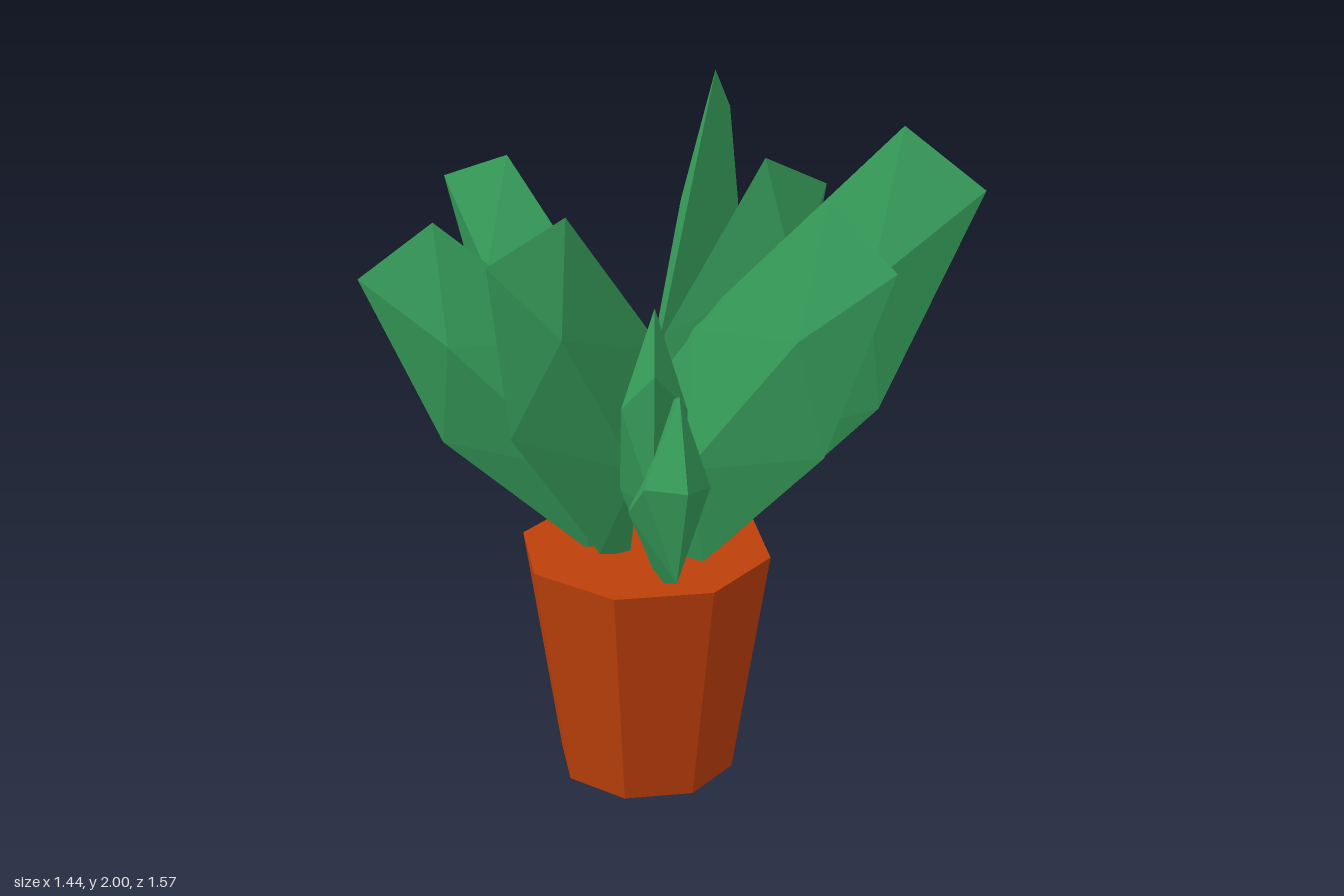
import * as THREE from 'three';

const potMat = new THREE.MeshStandardMaterial({ color: 0xbe400a });
potMat.name = 'terracotta';
const leafMat = new THREE.MeshStandardMaterial({ color: 0x379e5b });
leafMat.name = 'leaf green';
potMat.flatShading = leafMat.flatShading = true;

// Blade outline, counterclockwise: [along the blade, across it]
const OUTLINE = [
  [0, 0], [0.06, 0.33], [0.53, 0.86], [1, 0.5], [1, -0.5], [0.5, -1.1], [0.28, -1.28],
];
// Raised ridge points: [along, across, half thickness]
const RIDGE = [[0.28, -0.2, 0.092], [0.75, 0.13, 0.087]];

// Upper and outer corner of each blade's end edge
const LEAVES = [
  [[0.57, 1.84, -0.64], [0.72, 1.67, -0.79]],
  [[0.39, 1.74, -0.10], [0.62, 1.62, -0.13]],
  [[0.37, 2.00, 0.56], [0.49, 1.86, 0.75]],
  [[0.14, 1.84, 0.56], [0.20, 1.70, 0.78]],
  [[-0.23, 1.35, 0.45], [-0.31, 1.16, 0.62]],
  [[-0.17, 1.51, 0.23], [-0.28, 1.40, 0.41]],
  [[-0.28, 1.70, -0.04], [-0.53, 1.61, -0.02]],
  [[-0.53, 1.65, -0.32], [-0.72, 1.50, -0.40]],
  [[-0.22, 1.75, -0.47], [-0.31, 1.65, -0.68]],
];

function leafGeometry(upperTip, outerTip) {
  const upper = new THREE.Vector3(...upperTip);
  const outer = new THREE.Vector3(...outerTip);
  const centre = new THREE.Vector3(0, 0.665, -0.06);
  const dir = outer.clone().sub(upper).setY(0).normalize();
  const base = centre.clone().addScaledVector(dir, 0.08);
  const axis = upper.clone().add(outer).multiplyScalar(0.5).sub(base);
  const across = outer.clone().sub(upper);
  const side = dir.clone().cross(new THREE.Vector3(0, 1, 0));
  const place = (a, b, t = 0) => base.clone()
    .addScaledVector(axis, a).addScaledVector(across, b).addScaledVector(side, t);

  const rim = OUTLINE.map(([a, b]) => place(a, b));
  // The inner corners of all blades meet over the middle of the pot
  rim[6].x = centre.x + dir.x * 0.02;
  rim[6].z = centre.z + dir.z * 0.03;

  const points = [];
  for (const s of [1, -1]) {
    const [low, high] = RIDGE.map(([a, b, t]) => place(a, b, s * t));
    const tri = (a, b, c) => points.push(...(s > 0 ? [a, b, c] : [a, c, b]));
    // Fan the rim to the nearer ridge point
    rim.forEach((p, i) => {
      tri(i >= 2 && i <= 4 ? high : low, p, rim[(i + 1) % rim.length]);
    });
    // Join the two ridge points
    tri(low, rim[2], high);
    tri(low, high, rim[5]);
  }
  const geometry = new THREE.BufferGeometry().setFromPoints(points);
  geometry.computeVertexNormals();
  return geometry;
}

export function createModel() {
  const model = new THREE.Group();
  model.name = 'pottedPlant';

  // Eight-sided tapered pot
  const pot = new THREE.Mesh(new THREE.CylinderGeometry(0.36, 0.255, 0.68, 8), potMat);
  pot.name = 'pot';
  pot.position.set(-0.026, 0.34, -0.057);
  model.add(pot);

  // Blades fanning out of the pot
  const leaves = new THREE.Group();
  leaves.name = 'leaves';
  LEAVES.forEach(([upper, outer], i) => {
    const leaf = new THREE.Mesh(leafGeometry(upper, outer), leafMat);
    leaf.name = `leaf${i + 1}`;
    leaves.add(leaf);
  });
  model.add(leaves);
  return model;
}
